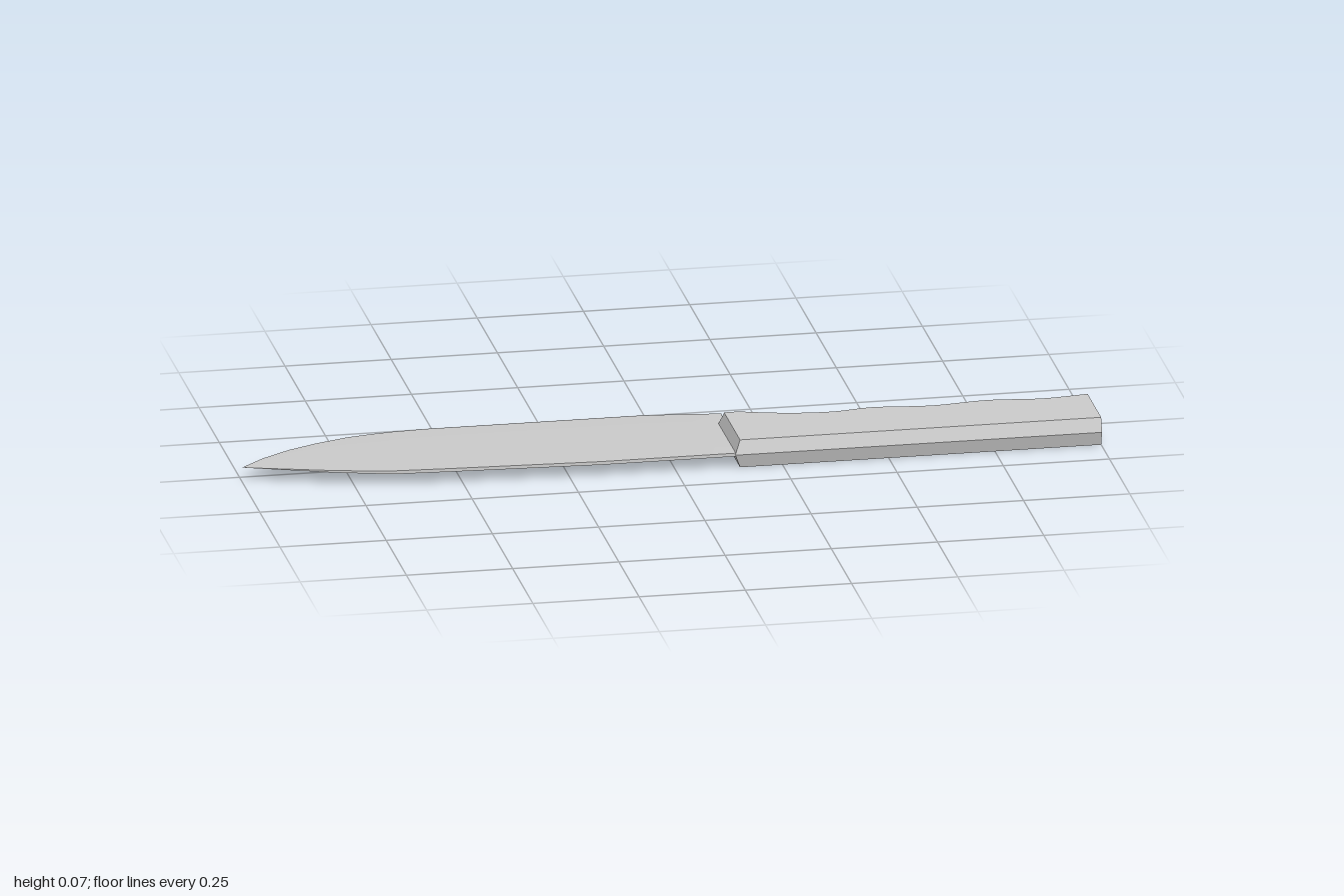
import * as THREE from 'three';
import { toCreasedNormals } from 'three/addons/utils/BufferGeometryUtils.js';

// Skin a list of rings (running towards +x) and close both ends with fans.
function loft(rings, crease) {
  const pos = [];
  const tri = (a, b, c) => {
    const n = b.clone().sub(a).cross(c.clone().sub(a));
    if (n.length() > 1e-9) pos.push(...a, ...b, ...c);
  };
  const count = rings[0].length;
  for (let s = 0; s < rings.length - 1; s++) {
    for (let i = 0; i < count; i++) {
      const j = (i + 1) % count, p = rings[s], q = rings[s + 1];
      tri(p[i], q[i], q[j]);
      tri(p[i], q[j], p[j]);
    }
  }
  const first = rings[0], last = rings[rings.length - 1];
  for (let i = 1; i < count - 1; i++) {
    tri(first[0], first[i], first[i + 1]);
    tri(last[0], last[i + 1], last[i]);
  }
  const geo = new THREE.BufferGeometry();
  geo.setAttribute('position', new THREE.Float32BufferAttribute(pos, 3));
  return toCreasedNormals(geo, crease);
}

const V = (x, y, z) => new THREE.Vector3(x, y, z);
const MID = 0.034; // height of the centre plane

export function createModel() {
  const group = new THREE.Group();
  const material = new THREE.MeshStandardMaterial({ color: 0xcccccc });
  const add = (name, geo) => {
    const mesh = new THREE.Mesh(geo, material);
    mesh.name = name;
    group.add(mesh);
  };

  // Blade: each station is [edge x, edge z, spine x, spine z]
  const stations = [
    [-1, 0.03, -1, 0.03],
    [-0.94, -0.025, -0.94, 0.05],
    [-0.87, -0.072, -0.87, 0.073],
    [-0.8, -0.105, -0.8, 0.096],
    [-0.72, -0.134, -0.72, 0.117],
    [-0.66, -0.146, -0.66, 0.13],
    [-0.61, -0.153, -0.61, 0.133],
    [-0.53, -0.158, -0.53, 0.138],
    [-0.18, -0.158, -0.18, 0.155],
    [-0.03, -0.158, -0.03, 0.155],
    [0.085, -0.148, 0.085, 0.155],
    [0.16, -0.136, 0.145, 0.155],
  ];
  const bladeRings = stations.map(([ex, ez, sx, sz], i) => {
    const half = 0.004 * Math.min(1, i / 5);
    const mx = i === stations.length - 1 ? 0.14 : ex; // undercut heel
    const mz = THREE.MathUtils.lerp(sz, ez, 0.75);
    return [
      V(sx, MID - half, sz), V(sx, MID + half, sz),
      V(mx, MID + half * 0.85, mz), V(ex, MID, ez), V(mx, MID - half * 0.85, mz),
    ];
  });
  add('blade', loft(bladeRings, 0.4));

  // Handle: six-sided section, straight front, wavy finger grip at the back
  const grip = new THREE.CatmullRomCurve3([
    [0.137, -0.06], [0.18, -0.062], [0.225, -0.049], [0.3, -0.03], [0.4, -0.021],
    [0.49, -0.034], [0.63, -0.02], [0.765, -0.034], [0.89, -0.021], [1, -0.033],
  ].map(([x, z]) => V(x, 0, z)));
  const handleRings = grip.getPoints(36).map((p, i) => {
    const bevelX = i === 0 ? 0.15 : Math.max(p.x, 0.151); // front end is chamfered
    return [
      V(p.x, MID, 0.158), V(bevelX, 0.067, 0.147), V(bevelX, 0.067, p.z + 0.012),
      V(p.x, MID, p.z), V(bevelX, 0, p.z + 0.012), V(bevelX, 0, 0.147),
    ];
  });
  add('handle', loft(handleRings, 0.4));

  return group;
}
